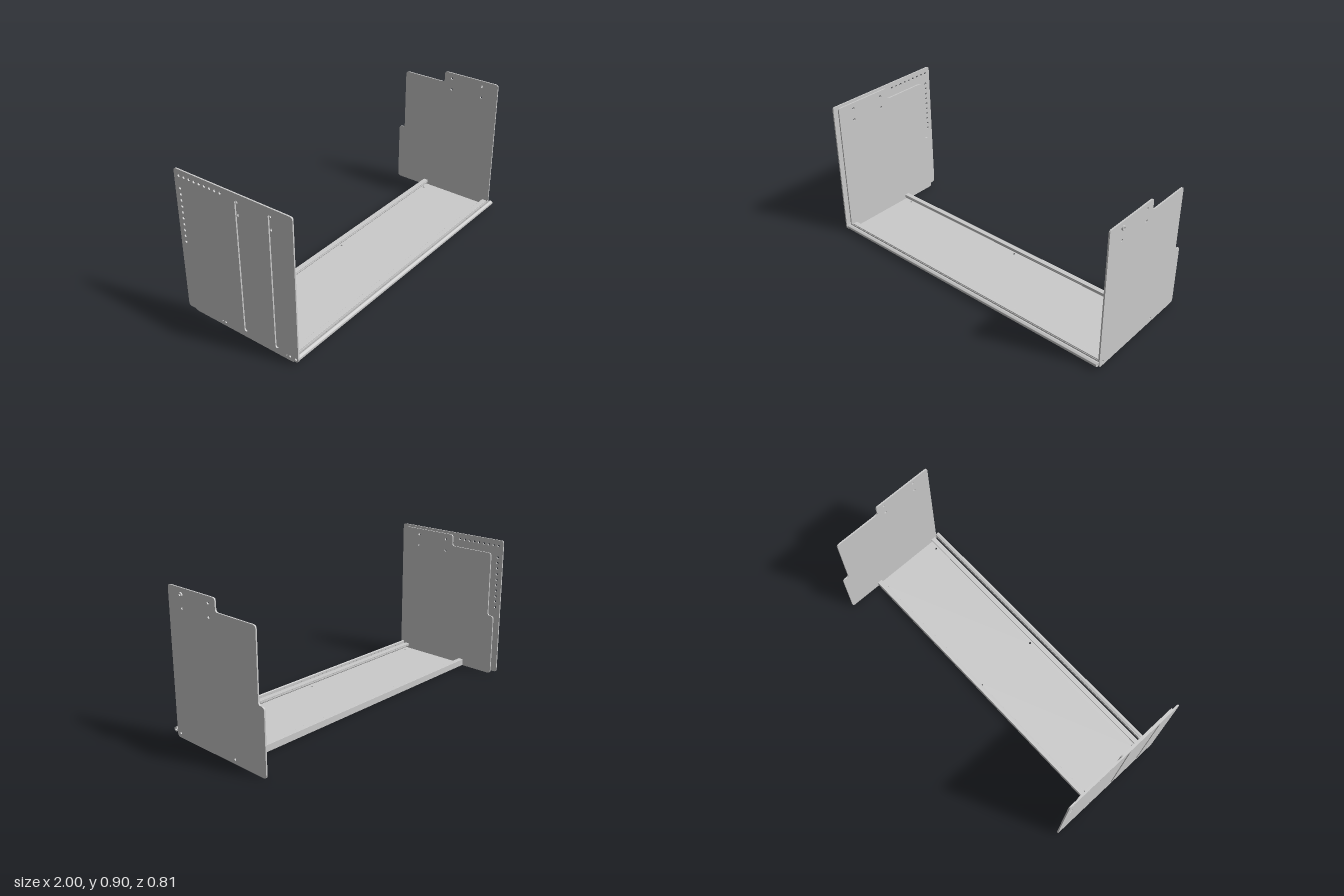
import * as THREE from 'three';

const material = new THREE.MeshStandardMaterial({ color: 0xcccccc, side: THREE.DoubleSide });

// Shape from points, every corner rounded by r
function roundedShape(points, r) {
  const shape = new THREE.Shape();
  const pts = points.map(([a, b]) => new THREE.Vector2(a, b));
  pts.forEach((p, i) => {
    const prev = pts[(i + pts.length - 1) % pts.length];
    const next = pts[(i + 1) % pts.length];
    const toward = (q) => p.clone().add(q.clone().sub(p).setLength(Math.min(r, p.distanceTo(q) * 0.49)));
    const a = toward(prev), b = toward(next);
    if (i === 0) shape.moveTo(a.x, a.y);
    else shape.lineTo(a.x, a.y);
    shape.quadraticCurveTo(p.x, p.y, b.x, b.y);
  });
  shape.closePath();
  return shape;
}

function punch(shape, holes) {
  for (const [a, b, r] of holes) {
    const path = new THREE.Path();
    path.absarc(a, b, r, 0, Math.PI * 2, true);
    shape.holes.push(path);
  }
  return shape;
}

// Extrudes a (z, y) outline along x, from x0 to x1
function alongX(name, shape, x0, x1) {
  const g = new THREE.ExtrudeGeometry(shape, { depth: x1 - x0, bevelEnabled: false, curveSegments: 8 });
  g.rotateY(-Math.PI / 2).translate(x1, 0, 0);
  const mesh = new THREE.Mesh(g, material);
  mesh.name = name;
  return mesh;
}

const screwHoles = [[0.34, 0.03, 0.007], [-0.123, 0.03, 0.007]];
const mountHoles = [];
for (const z of [0.258, 0.037]) for (const y of [0.845, 0.77]) mountHoles.push([z, y, 0.008]);

function innerPanel(name, x0, x1) {
  const outline = [
    [-0.362, 0.002], [-0.362, 0.395], [-0.32, 0.395], [-0.32, 0.808],
    [-0.018, 0.808], [-0.018, 0.882], [0.37, 0.882], [0.37, 0.002],
  ].reverse();
  return alongX(name, punch(roundedShape(outline, 0.02), [...mountHoles, ...screwHoles]), x0, x1);
}

function outerPanel(x0, x1) {
  // Bottom edge is notched around the two rail screws
  const outline = [
    [-0.403, 0.021],
    [-0.141, 0.021], [-0.141, 0.046], [-0.105, 0.046], [-0.105, 0.021],
    [0.322, 0.021], [0.322, 0.046], [0.358, 0.046], [0.358, 0.021],
    [0.403, 0.021], [0.403, 0.898], [-0.403, 0.898],
  ];
  const holes = [[0.387, 0.038, 0.007]];
  for (let i = 0; i < 9; i++) holes.push([-0.073 - i * 0.0368, 0.862, 0.008]);
  for (let i = 0; i < 10; i++) holes.push([-0.367, 0.788 - i * 0.0365, 0.008]);
  const shape = punch(roundedShape(outline, 0.018), holes);
  // Two tall slots
  for (const z of [0.037, 0.258]) {
    const slot = new THREE.Path();
    slot.absarc(z, 0.847, 0.011, 0, Math.PI, false);
    slot.absarc(z, 0.06, 0.011, Math.PI, Math.PI * 2, false);
    slot.closePath();
    shape.holes.push(slot);
  }
  return alongX('outerSidePanel', shape, x0, x1);
}

// Lipped channel with a hollow screw boss; dir is the side the lip points to
function rail(name, wallZ, dir, bossZ, half) {
  const group = new THREE.Group();
  group.name = name;
  const profile = [[0, 0.004], [0, 0.045], [0.031, 0.045], [0.031, 0.036], [0.026, 0.036],
    [0.026, 0.041], [0.005, 0.041], [0.005, 0.004]].map(([d, y]) => [wallZ + dir * d, y]);
  group.add(alongX(name + 'Channel', roundedShape(profile, 0.001), -half, half));
  const boss = new THREE.Shape();
  boss.absarc(bossZ, 0.03, 0.0115, 0, Math.PI * 2, false);
  group.add(alongX(name + 'Boss', punch(boss, [[bossZ, 0.03, 0.007]]), -half, half));
  return group;
}

export function createModel() {
  const model = new THREE.Group();
  const half = 0.982;

  // Side panels
  model.add(outerPanel(-1, -0.991));
  model.add(innerPanel('rightInnerPanel', -0.991, -half));
  model.add(innerPanel('leftPanel', half, 0.991));

  // Floor plate with six small holes, outlined in (x, -z)
  const floor = roundedShape([[-half, -0.357], [half, -0.357], [half, 0.142], [-half, 0.142]], 0.001);
  const floorHoles = [];
  for (const x of [-0.925, 0, 0.925]) for (const z of [-0.108, 0.316]) floorHoles.push([x, -z, 0.007]);
  const floorGeo = new THREE.ExtrudeGeometry(punch(floor, floorHoles), { depth: 0.009, bevelEnabled: false, curveSegments: 6 });
  floorGeo.rotateX(-Math.PI / 2).translate(0, 0.004, 0);
  const floorMesh = new THREE.Mesh(floorGeo, material);
  floorMesh.name = 'floorPlate';
  model.add(floorMesh);

  // Rails along the back and front of the floor
  model.add(rail('backRail', -0.142, 1, -0.123, half));
  model.add(rail('frontRail', 0.357, -1, 0.34, half));

  // Hollow hexagonal front bar
  const hex = [];
  for (let i = 0; i < 6; i++) {
    const a = (i + 0.5) * Math.PI / 3;
    hex.push([0.387 + Math.cos(a) * 0.0155, 0.038 + Math.sin(a) * 0.0155]);
  }
  model.add(alongX('frontBar', punch(roundedShape(hex, 0.003), [[0.387, 0.038, 0.007]]), -0.991, 0.991));

  // Perforated strip behind the front bar
  const strip = roundedShape([[-half, 0.022], [half, 0.022], [half, 0.054], [-half, 0.054]], 0.001);
  const dots = [];
  for (let i = 0; i < 53; i++) dots.push([(i - 26) * 0.0368, 0.042, 0.005]);
  const stripGeo = new THREE.ExtrudeGeometry(punch(strip, dots), { depth: 0.003, bevelEnabled: false, curveSegments: 4 });
  const stripMesh = new THREE.Mesh(stripGeo.translate(0, 0, 0.3705), material);
  stripMesh.name = 'perforatedStrip';
  model.add(stripMesh);

  // Hollow stud on the left panel
  const stud = new THREE.Shape();
  stud.absarc(0.258, 0.845, 0.0135, 0, Math.PI * 2, false);
  model.add(alongX('panelStud', punch(stud, [[0.258, 0.845, 0.007]]), 0.985, 1));

  return model;
}
